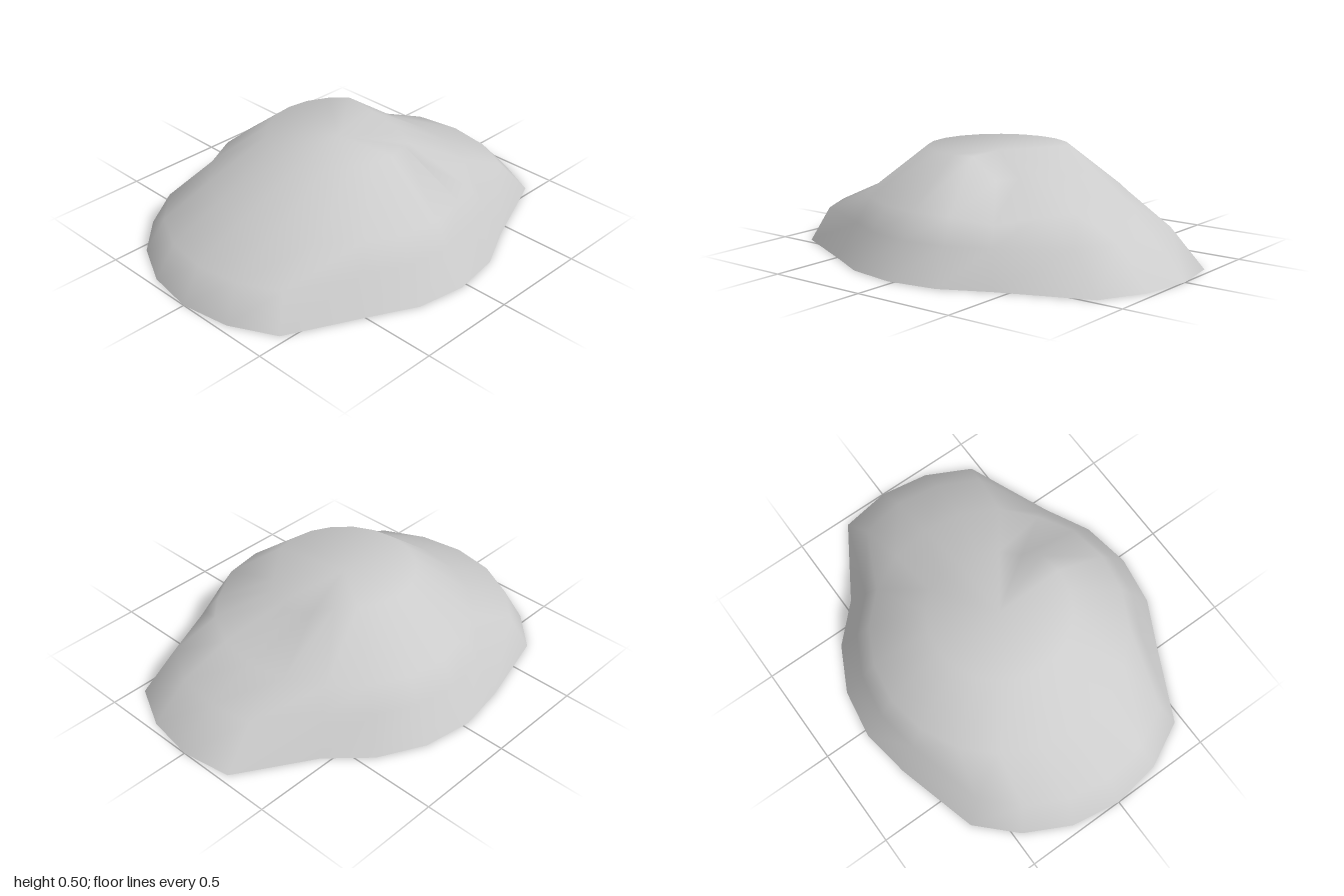
import * as THREE from 'three';

const SIDES = 20;
const CENTRE_Z = 0.03;

// Rings from the ground up: radius, height, push of the front and back bulges,
// and single heights (by side, counted from the back towards +x) that sag.
const RINGS = [
  { r: 0.785, y: 0, front: 0.185, back: -0.245 },
  { r: 0.69, y: 0.165, front: 0.185, back: -0.17, sag: { 19: 0.18, 0: 0.18, 1: 0.18, 2: 0.185 } },
  { r: 0.62, y: 0.28, front: 0, back: 0, sag: { 0: 0.27, 3: 0.25 } },
  { r: 0.34, y: 0.5, front: 0, back: 0, sag: { 19: 0.45, 0: 0.42, 1: 0.4, 2: 0.4, 3: 0.39 } },
];

function ringPoint(ring, i) {
  const a = (i / SIDES) * Math.PI * 2;
  let z = CENTRE_Z - ring.r * Math.cos(a);
  if (i <= 2 || i === 19) z += ring.back;
  if (i >= 8 && i <= 13) z += ring.front;
  return [ring.r * Math.sin(a), ring.sag?.[i] ?? ring.y, z];
}

function surface(positions, index) {
  const g = new THREE.BufferGeometry();
  g.setAttribute('position', new THREE.Float32BufferAttribute(positions, 3));
  g.setIndex(index);
  g.computeVertexNormals();
  return g;
}

export function createModel() {
  const group = new THREE.Group();
  group.name = 'boulder';
  const material = new THREE.MeshStandardMaterial({ color: 0xcccccc });

  // Sloping sides and dented top as one smooth skin
  const skin = [];
  const skinIndex = [];
  for (const ring of RINGS) {
    for (let i = 0; i < SIDES; i++) skin.push(...ringPoint(ring, i));
  }
  const top = skin.length / 3;
  skin.push(0, 0.475, CENTRE_Z);
  for (let k = 0; k < RINGS.length; k++) {
    for (let i = 0; i < SIDES; i++) {
      const a = k * SIDES + i;
      const b = k * SIDES + ((i + 1) % SIDES);
      if (k === RINGS.length - 1) skinIndex.push(b, a, top);
      else skinIndex.push(b, a, a + SIDES, b, a + SIDES, b + SIDES);
    }
  }
  const body = new THREE.Mesh(surface(skin, skinIndex), material);
  body.name = 'rockSurface';

  // Flat underside
  const floor = [0, 0, 0];
  const floorIndex = [];
  for (let i = 0; i < SIDES; i++) {
    floor.push(...ringPoint(RINGS[0], i));
    floorIndex.push(0, i + 1, ((i + 1) % SIDES) + 1);
  }
  const underside = new THREE.Mesh(surface(floor, floorIndex), material);
  underside.name = 'underside';

  group.add(body, underside);
  return group;
}
